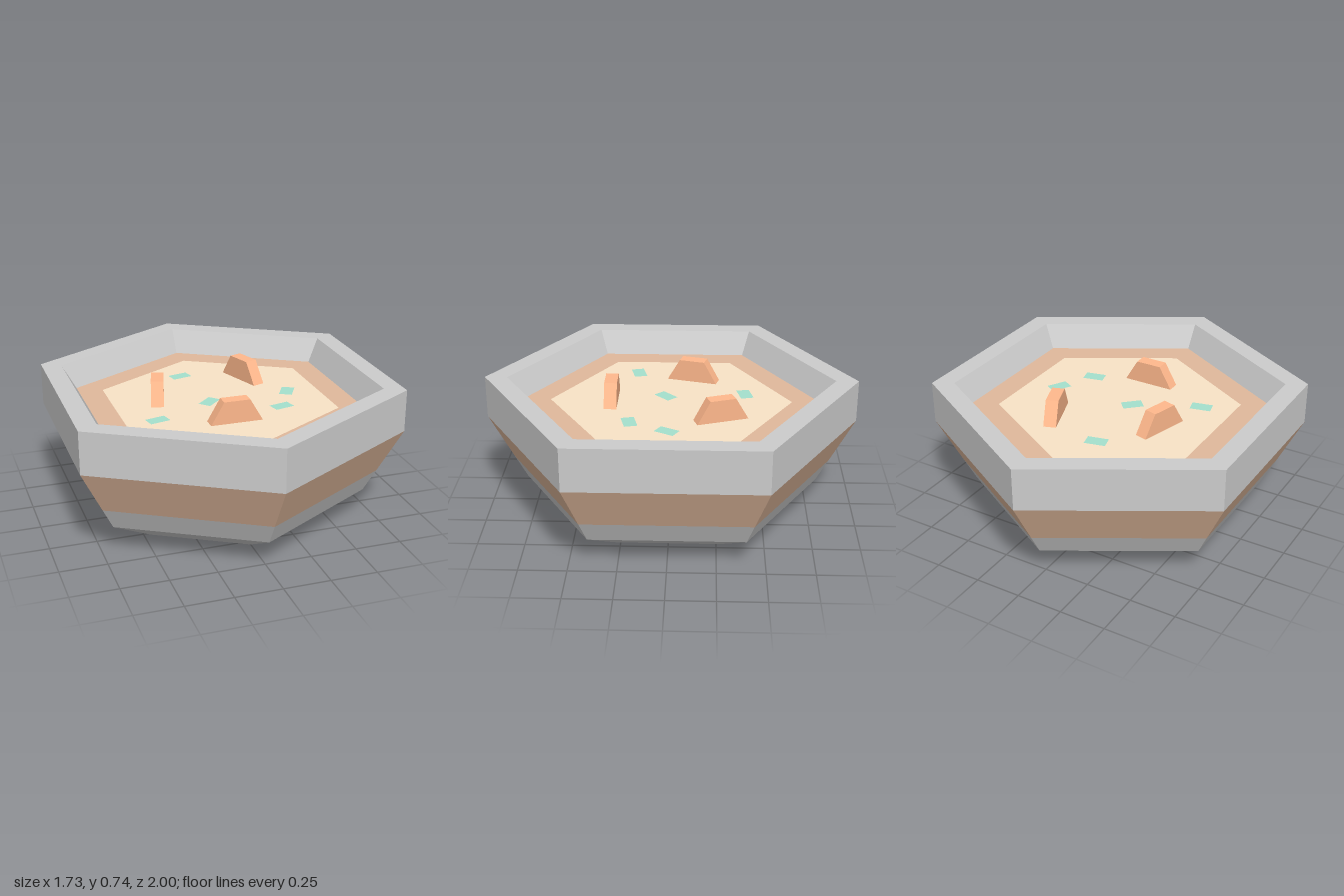
import * as THREE from 'three';

const FLOOR = 0.615;

function material(color) {
  return new THREE.MeshStandardMaterial({ color, flatShading: true });
}

const grey = material(0xcccccc);
const clay = material(0xe0b99c);
const sand = material(0xf9e4c6);
const teal = material(0xa4e0cd);
const orange = material(0xffb88c);

// Six-sided band from a profile of [radius, height] points, corners on +z and -z
function hexBand(name, profile, mat) {
  const points = profile.map(([r, y]) => new THREE.Vector2(r, y));
  const geometry = new THREE.LatheGeometry(points, 6).toNonIndexed();
  geometry.computeVertexNormals();
  const mesh = new THREE.Mesh(geometry, mat);
  mesh.name = name;
  return mesh;
}

// Ramp block: trapezoid outline extruded across its width
function rampGeometry(length, top, height, width) {
  const shape = new THREE.Shape([
    new THREE.Vector2(-length / 2, 0),
    new THREE.Vector2(length / 2, 0),
    new THREE.Vector2(top / 2, height),
    new THREE.Vector2(-top / 2, height),
  ]);
  const geometry = new THREE.ExtrudeGeometry(shape, { depth: width, bevelEnabled: false });
  return geometry.translate(0, 0, -width / 2);
}

export function createModel() {
  const model = new THREE.Group();
  model.name = 'hexagonalArena';

  // Bowl, from the ground up
  model.add(
    hexBand('base', [[0, 0], [0.535, 0], [0.8, 0.15]], grey),
    hexBand('lowerBand', [[0.8, 0.15], [0.867, 0.27]], grey),
    hexBand('clayBand', [[0.867, 0.27], [1, 0.51]], clay),
    hexBand('rim', [[1, 0.51], [1, 0.74], [0.88, 0.74], [0.8, FLOOR]], grey),
  );

  // Floor: clay border around a sandy middle
  model.add(
    hexBand('floorBorder', [[0.8, FLOOR], [0.65, FLOOR]], clay),
    hexBand('sandFloor', [[0.65, FLOOR], [0, FLOOR]], sand),
  );

  // Ramp blocks: x, z, turn
  const ramp = rampGeometry(0.28, 0.14, 0.12, 0.068);
  const blocks = [[-0.015, 0.32, 0], [-0.307, -0.116, -1.84], [0.235, -0.266, -1.23]];
  blocks.forEach(([x, z, turn], i) => {
    const block = new THREE.Mesh(ramp, orange);
    block.name = `rampBlock${i + 1}`;
    block.position.set(x, FLOOR, z);
    block.rotation.y = turn;
    model.add(block);
  });

  // Flat floor markers: x, z, turn
  const patch = new THREE.PlaneGeometry(0.112, 0.07).rotateX(-Math.PI / 2);
  const markers = [
    [-0.097, -0.4, 0.23], [-0.06, 0.03, 0.76], [0.393, 0.01, 1.06],
    [-0.392, 0.193, 0.23], [0.286, 0.209, 0.23],
  ];
  markers.forEach(([x, z, turn], i) => {
    const marker = new THREE.Mesh(patch, teal);
    marker.name = `floorMarker${i + 1}`;
    marker.position.set(x, FLOOR + 0.002, z);
    marker.rotation.y = turn;
    model.add(marker);
  });

  return model;
}
